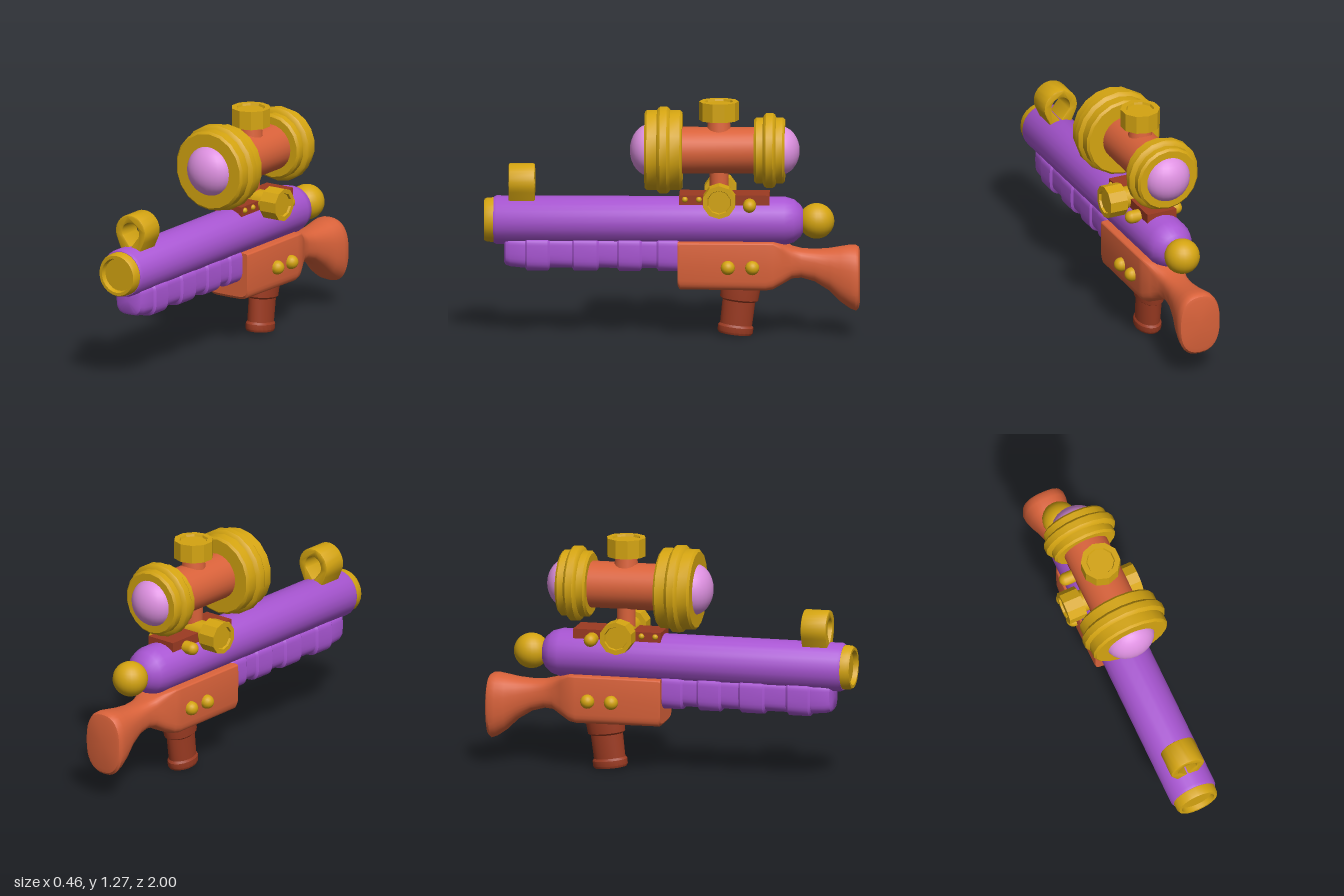
import * as THREE from 'three';
import { toCreasedNormals } from 'three/addons/utils/BufferGeometryUtils.js';

const paint = (name, color) => Object.assign(new THREE.MeshStandardMaterial({ color }), { name });

// Solid of revolution about z; profile is [z, radius] from back to front
function turned(profile, sides) {
  const geo = new THREE.LatheGeometry(profile.map(([z, r]) => new THREE.Vector2(r, z)), sides);
  geo.rotateX(Math.PI / 2);
  return toCreasedNormals(geo, 0.55);
}

// Loft along z; rings are [z, top, bottom, halfWidth, topSquareness, bottomSquareness], front to back
function loft(rings, sides = 32) {
  const pos = [], index = [];
  const pow = (v, n) => Math.sign(v) * Math.abs(v) ** (2 / n);
  for (const [z, top, bottom, w, nTop, nBottom] of rings) {
    for (let j = 0; j < sides; j++) {
      const a = (j / sides) * Math.PI * 2;
      const n = j <= sides / 2 ? nTop : nBottom;
      pos.push(w * pow(Math.cos(a), n), (top + bottom) / 2 + ((top - bottom) / 2) * pow(Math.sin(a), n), z);
    }
  }
  const last = rings.length - 1;
  const front = pos.length / 3, back = front + 1;
  for (const [z, top, bottom] of [rings[0], rings[last]]) pos.push(0, (top + bottom) / 2, z);
  for (let j = 0; j < sides; j++) {
    const k = (j + 1) % sides;
    for (let i = 0; i < last; i++) {
      const a = i * sides + j, b = i * sides + k;
      index.push(a, a + sides, b, b, a + sides, b + sides);
    }
    index.push(front, j, k, back, last * sides + k, last * sides + j);
  }
  const geo = new THREE.BufferGeometry();
  geo.setAttribute('position', new THREE.Float32BufferAttribute(pos, 3));
  geo.setIndex(index);
  return toCreasedNormals(geo, 0.6);
}

export function createModel() {
  const model = new THREE.Group();
  const purple = paint('purple', 0xa855d2);
  const orange = paint('orange', 0xd9623a);
  const darkRed = paint('dark red', 0x9c3b22);
  const gold = paint('gold', 0xd4a411);
  const pink = paint('pink', 0xdd90e0);

  const add = (name, geo, mat, x = 0, y = 0, z = 0) => {
    const mesh = new THREE.Mesh(geo, mat);
    mesh.name = name;
    mesh.position.set(x, y, z);
    model.add(mesh);
    return mesh;
  };

  // Barrel with domed back, muzzle ring and rear ball
  const barrelY = 0.63;
  add('barrel', turned([[-0.71, 0], [-0.705, 0.05], [-0.685, 0.085], [-0.65, 0.115], [-0.6, 0.13],
    [0.935, 0.13], [0.95, 0.122], [0.95, 0]], 24), purple, 0, barrelY);
  add('muzzle', turned([[0.94, 0.12], [0.985, 0.118], [1, 0.11], [1, 0.094], [0.975, 0.088], [0.975, 0]], 24),
    gold, 0, barrelY);
  add('rearBall', new THREE.SphereGeometry(0.095, 24, 16), gold, 0, barrelY, -0.77);

  // Ribbed handguard under the barrel
  const guard = [[0.895, 0.53, 0.405, 0.06, 6, 3], [0.885, 0.54, 0.39, 0.078, 6, 3], [0.86, 0.54, 0.382, 0.088, 6, 3],
    [0.79, 0.54, 0.375, 0.09, 6, 3]];
  for (const [f, b] of [[0.77, 0.66], [0.52, 0.4], [0.28, 0.17], [0.07, -0.03]]) {
    const thin = [0.54, 0.376, 0.09, 6, 3], thick = [0.545, 0.36, 0.1, 6, 3];
    guard.push([f + 0.012, ...thin], [f, ...thick], [b, ...thick], [b - 0.012, ...thin]);
  }
  add('handguard', loft(guard), purple);

  // Receiver flowing into the flared stock
  add('receiverAndStock', loft([
    [-0.033, 0.53, 0.285, 0.128, 24, 6], [-0.045, 0.53, 0.27, 0.13, 24, 6], [-0.5, 0.53, 0.265, 0.13, 24, 6],
    [-0.54, 0.53, 0.27, 0.127, 20, 5], [-0.59, 0.513, 0.295, 0.105, 8, 4], [-0.64, 0.49, 0.322, 0.082, 4, 3],
    [-0.69, 0.48, 0.325, 0.074, 3, 2.6], [-0.76, 0.476, 0.305, 0.078, 2.6, 2.5], [-0.84, 0.482, 0.255, 0.094, 2.5, 2.5],
    [-0.9, 0.492, 0.195, 0.11, 2.5, 2.5], [-0.95, 0.5, 0.16, 0.12, 2.5, 2.5], [-0.98, 0.498, 0.148, 0.121, 2.5, 2.5],
    [-0.995, 0.488, 0.162, 0.114, 2.5, 2.5], [-1, 0.47, 0.185, 0.1, 2.5, 2.5],
  ]), orange);

  // Oval grip, leaning slightly forward at its foot
  const gripGeo = turned([[0, 0], [0, 0.088], [0.012, 0.095], [0.04, 0.095], [0.052, 0.086], [0.18, 0.088],
    [0.19, 0.102], [0.24, 0.106], [0.29, 0.106], [0.29, 0]], 20);
  gripGeo.rotateX(-Math.PI / 2);
  gripGeo.scale(0.74, 1, 1);
  add('grip', gripGeo, darkRed, 0, 0.02, -0.335).rotation.x = -0.12;

  // Rounded pins passing through the receiver and the sight mount
  const pin = (name, reach, r, y, z) => {
    const geo = new THREE.CapsuleGeometry(r, 2 * (reach - r), 6, 16);
    geo.rotateZ(Math.PI / 2);
    add(name, geo, gold, 0, y, z);
  };
  pin('receiverPin', 0.175, 0.038, 0.397, -0.3);
  pin('receiverPin', 0.175, 0.038, 0.397, -0.43);
  pin('mountPin', 0.165, 0.035, 0.73, -0.415);
  pin('smallPin', 0.1, 0.016, 0.757, -0.07);
  pin('smallPin', 0.1, 0.016, 0.757, -0.145);

  // Teardrop front sight
  const hoop = new THREE.Shape();
  hoop.absarc(0, 0.837, 0.09, -0.5, Math.PI + 0.5);
  hoop.lineTo(-0.05, 0.73);
  hoop.lineTo(0.05, 0.73);
  const opening = new THREE.Path();
  opening.absarc(0, 0.837, 0.06, -0.4, Math.PI + 0.4);
  opening.lineTo(0, 0.745);
  hoop.holes.push(opening);
  const hoopGeo = new THREE.ExtrudeGeometry(hoop, {
    depth: 0.124, bevelThickness: 0.008, bevelSize: 0.007, bevelSegments: 2, curveSegments: 10,
  });
  add('frontSight', toCreasedNormals(hoopGeo, 0.5), gold, 0, 0, 0.738);

  // Scope mount: plate and posts
  add('mountPlate', new THREE.BoxGeometry(0.17, 0.06, 0.48), darkRed, 0, 0.75, -0.28);
  add('mountPost', new THREE.CylinderGeometry(0.05, 0.05, 0.16, 16), orange, 0, 0.84, -0.25);
  add('knobStem', new THREE.CylinderGeometry(0.055, 0.068, 0.1, 16), orange, 0, 1.145, -0.25);

  // Scope tube, ringed ends and lenses
  const scopeY = 1.01;
  add('scopeTube', turned([[-0.55, 0], [-0.55, 0.125], [0.1, 0.125], [0.1, 0]], 24), orange, 0, scopeY);
  const scopeRing = (name, z, half, r, flange) => {
    add(name, turned([[-half, 0.1], [-half, r - 0.012], [0.012 - half, r], [-0.035, r], [-0.028, flange - 0.008],
      [-0.018, flange], [0.018, flange], [0.028, flange - 0.008], [0.035, r], [half - 0.012, r],
      [half, r - 0.012], [half, 0.1]], 18), gold, 0, scopeY, z);
  };
  scopeRing('frontScopeRing', 0.045, 0.1, 0.217, 0.235);
  scopeRing('rearScopeRing', -0.52, 0.082, 0.178, 0.202);
  for (const [name, r, z] of [['frontLens', 0.138, 0.12], ['rearLens', 0.13, -0.575]]) {
    add(name, new THREE.SphereGeometry(r, 24, 16), pink, 0, scopeY, z).scale.z = 0.105 / r;
  }

  // Faceted adjustment knobs with recessed caps
  const knobGeo = (r, len, sides) => turned([[0, 0], [0, r], [len, r], [len, r * 0.72],
    [len - 0.012, r * 0.68], [len - 0.012, 0]], sides);
  add('topKnob', knobGeo(0.106, 0.1, 10), gold, 0, 1.175, -0.25).rotation.x = -Math.PI / 2;
  for (const side of [-1, 1]) {
    add('sideKnob', knobGeo(0.089, 0.1, 10), gold, side * 0.115, 0.765, -0.255).rotation.y = side * Math.PI / 2;
  }
  const axle = new THREE.CylinderGeometry(0.06, 0.06, 0.24, 16);
  axle.rotateZ(Math.PI / 2);
  add('sideKnobAxle', axle, gold, 0, 0.765, -0.255);

  return model;
}
